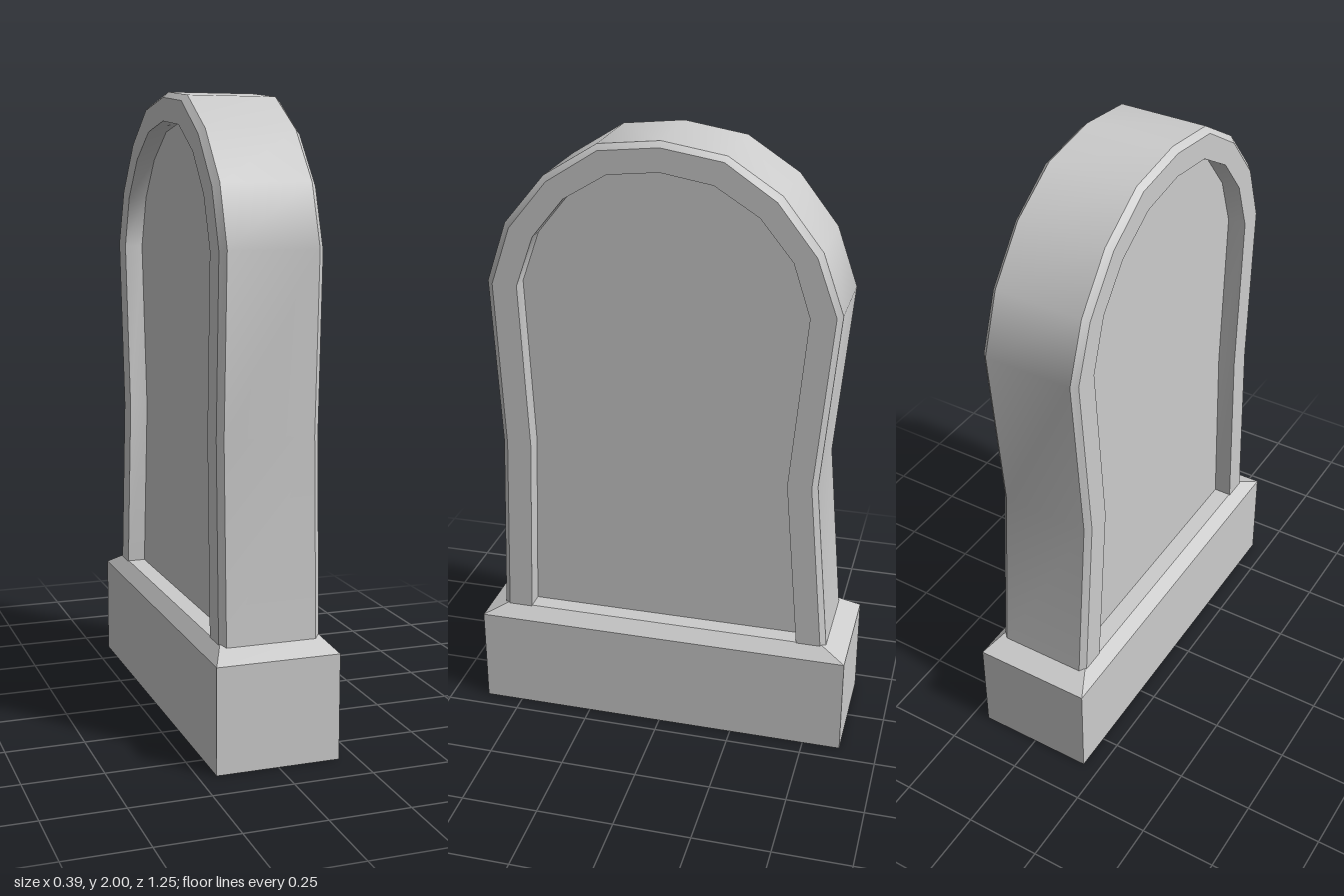
import * as THREE from 'three';

const material = new THREE.MeshStandardMaterial({ color: 0xcccccc });

// Outlines as [z, y], running from the +z foot over the arch to the -z foot
const rim = [[0.56, 0.355], [0.535, 0.98], [0.56, 1.53], [0.495, 1.72], [0.365, 1.875], [0.195, 1.98], [0, 2],
  [-0.2, 1.967], [-0.365, 1.86], [-0.49, 1.7], [-0.557, 1.51], [-0.505, 0.94], [-0.557, 0.355]];
const lip = [[0.54, 0.355], [0.517, 0.98], [0.54, 1.525], [0.477, 1.708], [0.352, 1.86], [0.19, 1.963], [0, 1.983],
  [-0.193, 1.952], [-0.352, 1.845], [-0.475, 1.688], [-0.54, 1.508], [-0.488, 0.94], [-0.54, 0.355]];
const recess = [[0.46, 0.355], [0.437, 0.98], [0.46, 1.523], [0.402, 1.685], [0.3, 1.81], [0.162, 1.893], [0, 1.91],
  [-0.163, 1.882], [-0.302, 1.795], [-0.405, 1.668], [-0.46, 1.5], [-0.41, 0.94], [-0.46, 0.355]];

function add(group, name, geometry) {
  const mesh = new THREE.Mesh(geometry, material);
  mesh.name = name;
  group.add(mesh);
}

// Band between two outlines at different x, smooth along its length
function band([outlineA, xa], [outlineB, xb]) {
  const positions = [], index = [];
  outlineA.forEach(([z, y], i) => {
    positions.push(xa, y, z, xb, outlineB[i][1], outlineB[i][0]);
    const k = 2 * i;
    if (i < outlineA.length - 1) index.push(k, k + 1, k + 3, k, k + 3, k + 2);
  });
  const geometry = new THREE.BufferGeometry();
  geometry.setAttribute('position', new THREE.Float32BufferAttribute(positions, 3));
  geometry.setIndex(index);
  geometry.computeVertexNormals();
  return geometry;
}

// Flat sunken panel facing +x (side 1) or -x (side -1)
function panel(side, x) {
  const shape = new THREE.Shape(recess.map(([z, y]) => new THREE.Vector2(-side * z, y)));
  return new THREE.ShapeGeometry(shape).rotateY(side * Math.PI / 2).translate(side * x, 0, 0);
}

// Plinth: block whose top layer tapers into a chamfer
function plinth() {
  const box = new THREE.BoxGeometry(0.39, 2, 1.25, 1, 2, 1);
  const p = box.attributes.position;
  for (let i = 0; i < p.count; i++) {
    const level = Math.round(p.getY(i)) + 1;
    p.setY(i, [0, 0.33, 0.37][level]);
    if (level === 2) {
      p.setX(i, Math.sign(p.getX(i)) * 0.158);
      p.setZ(i, Math.sign(p.getZ(i)) * 0.545);
    }
  }
  const flat = box.toNonIndexed();
  flat.computeVertexNormals();
  return flat;
}

export function createModel() {
  const model = new THREE.Group();
  model.name = 'headstone';
  add(model, 'plinth', plinth());

  // Slab skin from one sunken panel, around the rim, to the other
  const rings = [[recess, -0.1], [recess, -0.16], [lip, -0.16], [rim, -0.142],
    [rim, 0.142], [lip, 0.16], [recess, 0.16], [recess, 0.1]];
  const names = ['rightRecessWall', 'rightFrame', 'rightBevel', 'slabEdge',
    'leftBevel', 'leftFrame', 'leftRecessWall'];
  const slab = new THREE.Group();
  slab.name = 'slab';
  names.forEach((name, i) => add(slab, name, band(rings[i], rings[i + 1])));
  add(slab, 'leftPanel', panel(1, 0.1));
  add(slab, 'rightPanel', panel(-1, 0.1));
  model.add(slab);
  return model;
}
